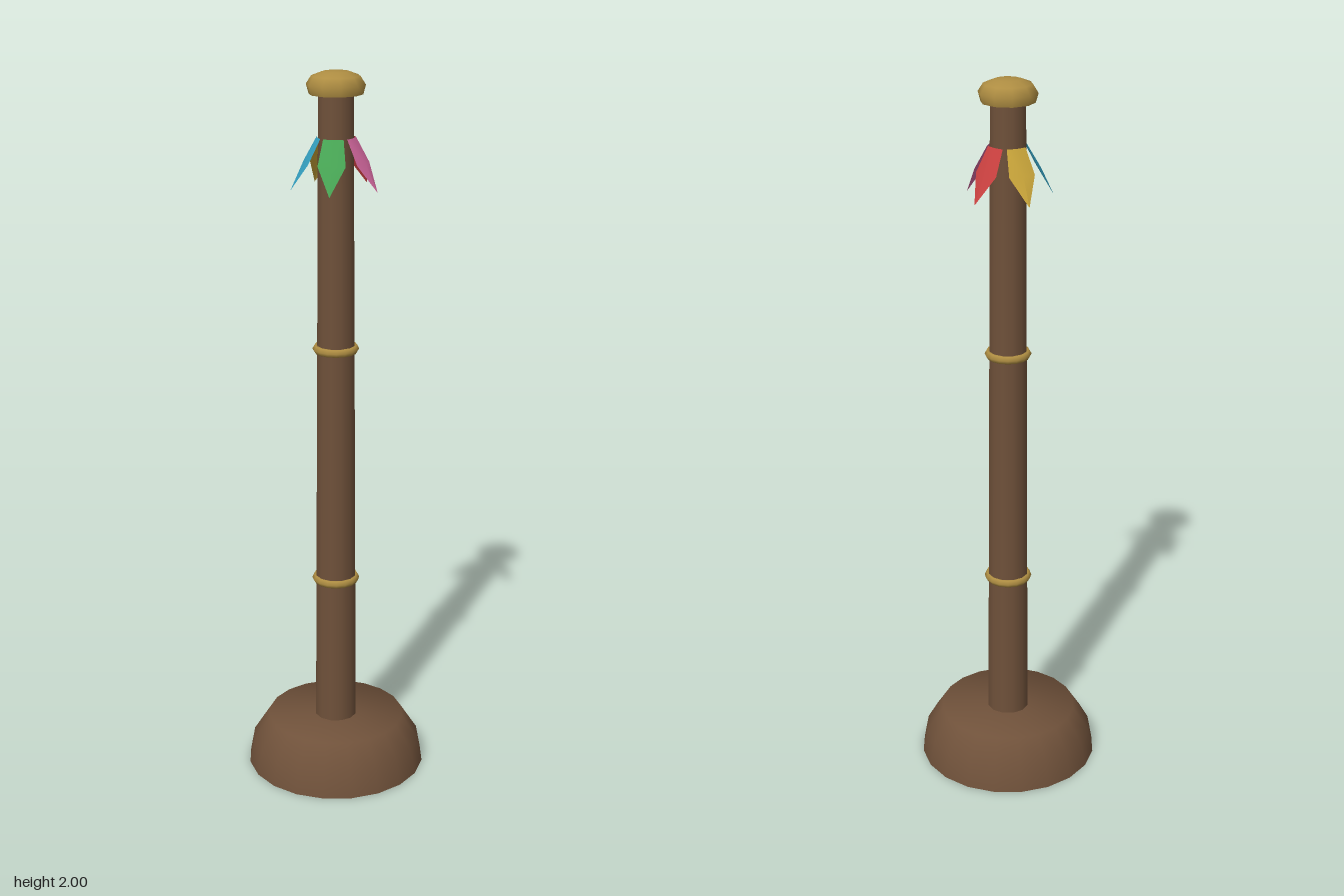
import * as THREE from 'three';
import { toCreasedNormals } from 'three/addons/utils/BufferGeometryUtils.js';

export function createModel() {
  const model = new THREE.Group();
  const material = (name, color, side = THREE.FrontSide) => {
    const m = new THREE.MeshStandardMaterial({ color, side });
    m.name = name;
    return m;
  };
  const wood = material('wood', 0x6f513a);
  const brass = material('brass', 0xae8d42);

  const add = (name, geometry, mat, y = 0) => {
    const mesh = new THREE.Mesh(geometry, mat);
    mesh.name = name;
    mesh.position.y = y;
    model.add(mesh);
    return mesh;
  };
  const lathe = (points, sides) => new THREE.LatheGeometry(
    points.map(([r, y]) => new THREE.Vector2(r, y)), sides);

  // Rounded foot with a flat top, closed underneath
  add('base', toCreasedNormals(
    lathe([[0, 0], [0.255, 0], [0.242, 0.07], [0.195, 0.143], [0, 0.143]], 20), 1.1), wood);

  // Tapered pole
  add('pole', new THREE.CylinderGeometry(0.048, 0.06, 1.82, 12), wood, 1.04);

  // Metal bands around the pole
  for (const [y, radius] of [[0.573, 0.055], [1.252, 0.052]]) {
    const band = add('band', new THREE.TorusGeometry(radius, 0.012, 6, 16), brass, y);
    band.rotation.x = Math.PI / 2;
  }

  // Domed cap
  add('cap', toCreasedNormals(
    lathe([[0, 1.94], [0.072, 1.94], [0.079, 1.965], [0.065, 1.987], [0.036, 1.998], [0, 2]], 10), 1.1), brass);

  // Five feathers hanging outward, each a leaf folded along its middle
  // Rows: distance from the axis, height, half width, fold depth
  const rows = [[0.05, 1.828, 0.027, 0.004], [0.088, 1.763, 0.037, 0.008], [0.122, 1.69, 0, 0]];
  const featherGeometry = () => {
    const positions = [];
    for (const [r, y, w, fold] of rows) {
      positions.push(r - fold, y, -w, r, y, 0, r - fold, y, w);
    }
    const index = [];
    for (let row = 0; row < rows.length - 1; row++) {
      for (let col = 0; col < 2; col++) {
        const a = row * 3 + col, b = a + 1, c = a + 3, d = a + 4;
        index.push(a, b, c, b, d, c);
      }
    }
    const g = new THREE.BufferGeometry();
    g.setAttribute('position', new THREE.Float32BufferAttribute(positions, 3));
    g.setIndex(index);
    g.computeVertexNormals();
    return g;
  };
  const colours = [
    ['red', 0xc8403f], ['pink', 0xd4689f], ['green', 0x48a655],
    ['blue', 0x35a3c4], ['yellow', 0xc9a53a],
  ];
  colours.forEach(([name, hex], i) => {
    const feather = add(name + 'Feather', featherGeometry(), material(name, hex, THREE.DoubleSide));
    feather.rotation.y = -i * Math.PI * 2 / 5;
  });

  return model;
}
